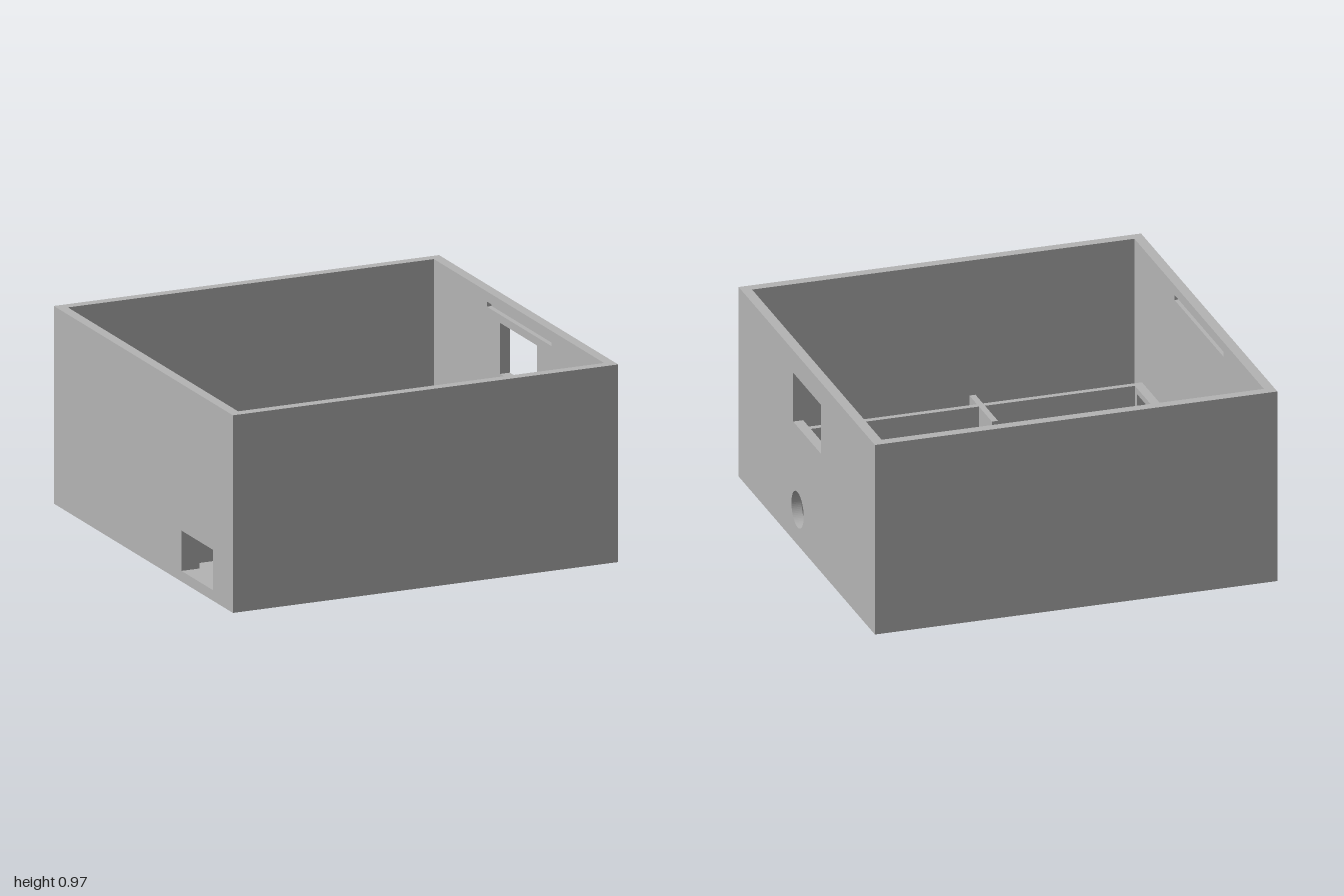
import * as THREE from 'three';

const H = 0.97, T = 0.05, FLOOR = 0.05, RIM = 0.28, NOTCH = 0.12;

export function createModel() {
  const group = new THREE.Group();
  group.name = 'enclosure';
  const grey = new THREE.MeshStandardMaterial({ color: 0xb4b4b4 });
  grey.name = 'plain grey';

  const add = (name, geometry) => {
    const mesh = new THREE.Mesh(geometry, grey);
    mesh.name = name;
    group.add(mesh);
  };
  // box given by its limits
  const box = (name, x0, x1, y0, y1, z0, z1) => add(name,
    new THREE.BoxGeometry(x1 - x0, y1 - y0, z1 - z0)
      .translate((x0 + x1) / 2, (y0 + y1) / 2, (z0 + z1) / 2));
  const rect = (C, u0, u1, v0, v1) => new C([
    new THREE.Vector2(u0, v0), new THREE.Vector2(u1, v0),
    new THREE.Vector2(u1, v1), new THREE.Vector2(u0, v1)]);
  const circle = (u, v, r) => new THREE.Path().absarc(u, v, r, 0, Math.PI * 2, true);
  const extrude = (shape, depth) =>
    new THREE.ExtrudeGeometry(shape, { depth, bevelEnabled: false, curveSegments: 32 });
  // upright plate along z, between x0 and x1
  const plateZ = (name, shape, x0, x1) => add(name,
    extrude(shape, x1 - x0).rotateY(-Math.PI / 2).translate(x1, 0, 0));
  // upright plate along x, between z0 and z1
  const plateX = (name, shape, z0, z1) => add(name, extrude(shape, z1 - z0).translate(0, 0, z0));
  // divider outline with cable notches cut from the top
  const notched = (u0, u1, notches) => {
    const s = new THREE.Shape().moveTo(u0, FLOOR).lineTo(u1, FLOOR).lineTo(u1, RIM);
    for (const [a, b] of notches) s.lineTo(b, RIM).lineTo(b, NOTCH).lineTo(a, NOTCH).lineTo(a, RIM);
    return s.lineTo(u0, RIM).closePath();
  };

  // floor with two screw holes
  const floor = rect(THREE.Shape, -1, 1, -1, 1);
  for (const x of [-0.27, 0.27]) floor.holes.push(circle(x, -0.145, 0.05));
  add('floor', extrude(floor, FLOOR).rotateX(-Math.PI / 2));

  // outer walls; each side has an outer skin and an inner skin with a lid slot
  box('frontWall', -1, 1, FLOOR, H, 1 - T, 1);
  box('backWall', -1, 1, FLOOR, H, -1, -1 + T);
  const port = () => rect(THREE.Path, 0.425, 0.78, FLOOR + 0.002, 0.25);
  for (const side of [1, -1]) {
    for (const inner of [false, true]) {
      const s = rect(THREE.Shape, -1 + T, 1 - T, FLOOR, H);
      if (side > 0) s.holes.push(rect(THREE.Path, -0.21, 0.2, 0.605, 0.855), circle(0.135, 0.18, 0.09));
      else s.holes.push(port());
      if (inner) s.holes.push(rect(THREE.Path, -0.36, 0.36, 0.895, 0.92));
      const a = side * (inner ? 1 - T : 1 - T / 2), b = side * (inner ? 1 - T / 2 : 1);
      plateZ((side > 0 ? 'left' : 'right') + (inner ? 'InnerSkin' : 'OuterSkin'), s, Math.min(a, b), Math.max(a, b));
    }
  }

  // low liner around the inside
  const liner = rect(THREE.Shape, -0.95, 0.84, FLOOR, RIM);
  liner.holes.push(port());
  plateZ('rightLiner', liner, -0.95, -0.905);
  box('backLiner', -0.905, 0.95, FLOOR, RIM, -0.95, -0.905);
  box('leftLinerBack', 0.905, 0.95, FLOOR, RIM, -0.905, -0.085);
  box('leftLinerFront', 0.905, 0.95, FLOOR, RIM, 0.4, 0.86);
  box('leftLinerFace', 0.893, 0.905, FLOOR, RIM, 0.335, 0.84);
  box('frontLinerRight', -0.905, -0.16, FLOOR, RIM, 0.81, 0.84);
  box('frontLinerLeft', -0.13, 0.893, FLOOR, RIM, 0.81, 0.84);

  // low ledges that hold the front panels
  box('frontLedgeRight', -0.95, -0.16, FLOOR, 0.1, 0.84, 0.865);
  box('frontLedgeLeft', -0.13, 0.95, FLOOR, 0.1, 0.865, 0.89);

  // compartment dividers
  plateZ('longDivider', notched(-0.905, 0.305, [[-0.41, -0.25]]), 0.44, 0.465);
  plateX('crossDivider', notched(-0.905, 0.95, [[0.675, 0.83], [-0.68, -0.51]]
    ), 0.305, 0.335);
  plateZ('frontDivider', notched(0.335, 0.95, [[0.45, 0.62]]), -0.16, -0.13);
  box('boardStop', -0.905, 0.4, FLOOR, 0.15, 0, 0.027);

  return group;
}
